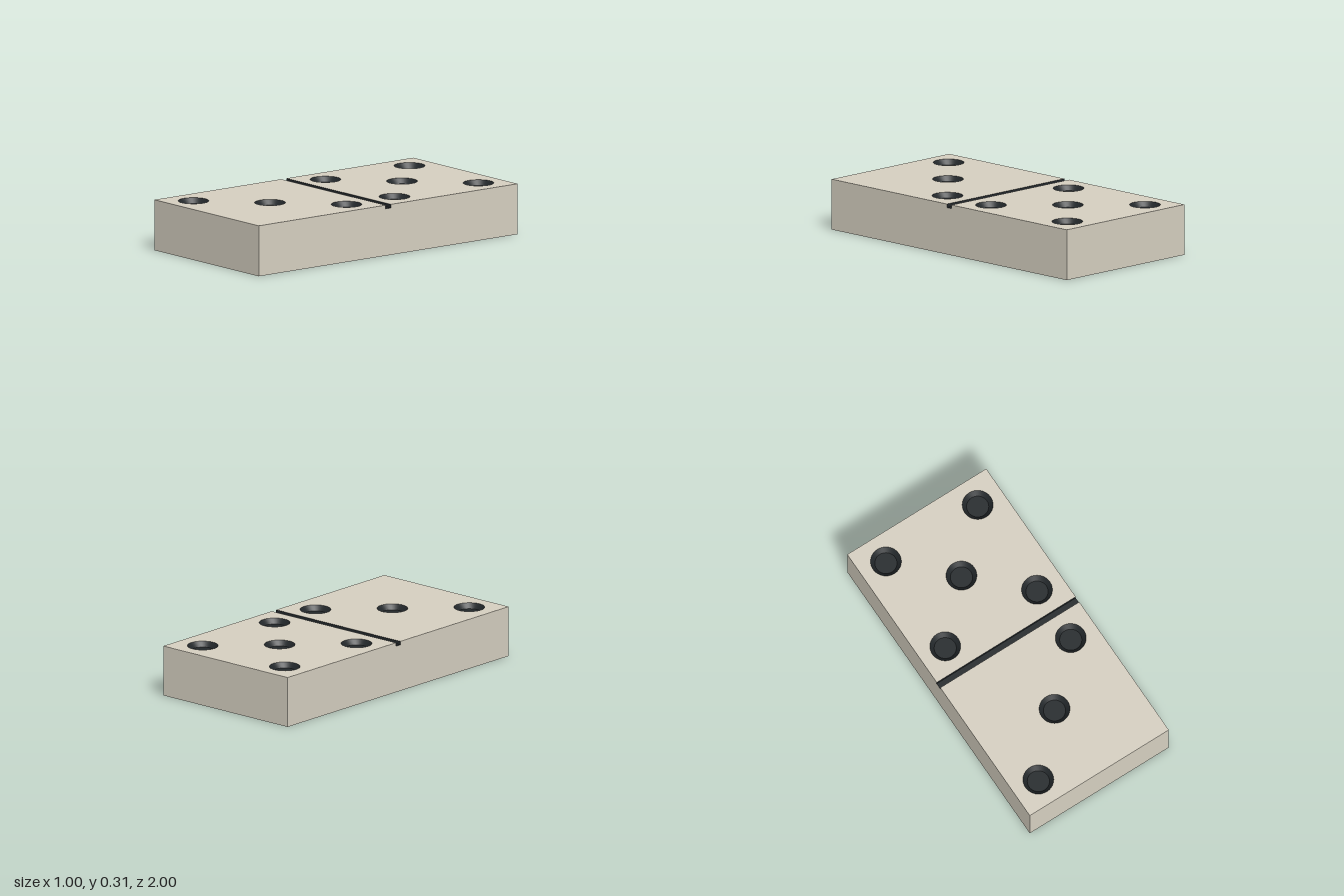
import * as THREE from 'three';
import { mergeGeometries, toCreasedNormals } from 'three/addons/utils/BufferGeometryUtils.js';

const W = 1, L = 2, H = 0.31;                   // tile size
const GROOVE = 0.02, GROOVE_DEPTH = 0.022;      // half width and depth of the dividing groove
const PIP_R = 0.093, PIP_FLOOR = 0.067, PIP_DEPTH = 0.03;

// Pip centres as [x, z]
const backPips = [[-0.33, -0.835], [0.33, -0.835], [0, -0.51], [-0.33, -0.185], [0.33, -0.185]];
const frontPips = [[0.33, 0.185], [0, 0.51], [-0.33, 0.835]];

// Flat rectangle, tilted about x, then moved to height y and depth z
function panel(w, h, tilt, y, z) {
  return new THREE.PlaneGeometry(w, h).rotateX(tilt).translate(0, y, z);
}

// Top face of one half, with a round opening for each pip
function topFace(z0, z1, pips) {
  const shape = new THREE.Shape([[-W / 2, -z1], [W / 2, -z1], [W / 2, -z0], [-W / 2, -z0]]
    .map(([x, y]) => new THREE.Vector2(x, y)));
  for (const [x, z] of pips) {
    shape.holes.push(new THREE.Path().absarc(x, -z, PIP_R, 0, Math.PI * 2, true));
  }
  return new THREE.ShapeGeometry(shape, 16).rotateX(-Math.PI / 2).translate(0, H, 0);
}

// Long side wall, notched by the groove
function sideWall(side) {
  const g = GROOVE, floor = H - GROOVE_DEPTH;
  const shape = new THREE.Shape([
    [-L / 2, 0], [L / 2, 0], [L / 2, H], [g, H], [g, floor], [-g, floor], [-g, H], [-L / 2, H],
  ].map(([z, y]) => new THREE.Vector2(z, y)));
  return new THREE.ShapeGeometry(shape).rotateY(side * Math.PI / 2).translate(side * W / 2, 0, 0);
}

export function createModel() {
  const model = new THREE.Group();
  model.name = 'dominoTile';
  const ivory = new THREE.MeshStandardMaterial({ color: 0xd6d0c1 });
  const black = new THREE.MeshStandardMaterial({ color: 0x22272a });

  const add = (name, geometry, material) => {
    const mesh = new THREE.Mesh(geometry, material);
    mesh.name = name;
    model.add(mesh);
    return mesh;
  };

  // Tile body
  add('body', mergeGeometries([
    topFace(-L / 2, -GROOVE, backPips),
    topFace(GROOVE, L / 2, frontPips),
    sideWall(1),
    sideWall(-1),
    panel(W, H, 0, H / 2, L / 2),
    panel(W, H, Math.PI, H / 2, -L / 2),
    panel(W, L, Math.PI / 2, 0, 0),
  ]), ivory);

  // Painted floor and walls of the dividing groove
  const wallY = H - GROOVE_DEPTH / 2;
  add('dividingGroove', mergeGeometries([
    panel(W, GROOVE * 2, -Math.PI / 2, H - GROOVE_DEPTH, 0),
    panel(W, GROOVE_DEPTH, 0, wallY, -GROOVE),
    panel(W, GROOVE_DEPTH, Math.PI, wallY, GROOVE),
  ]), black);

  // Sunken pips with sloping walls and flat floors
  const pipProfile = [[PIP_R, 0], [PIP_FLOOR, -PIP_DEPTH], [0, -PIP_DEPTH]]
    .map(([r, y]) => new THREE.Vector2(r, y));
  const pipGeometry = toCreasedNormals(new THREE.LatheGeometry(pipProfile, 32), 0.4);
  for (const [x, z] of [...backPips, ...frontPips]) {
    add('pip', pipGeometry, black).position.set(x, H, z);
  }
  return model;
}
